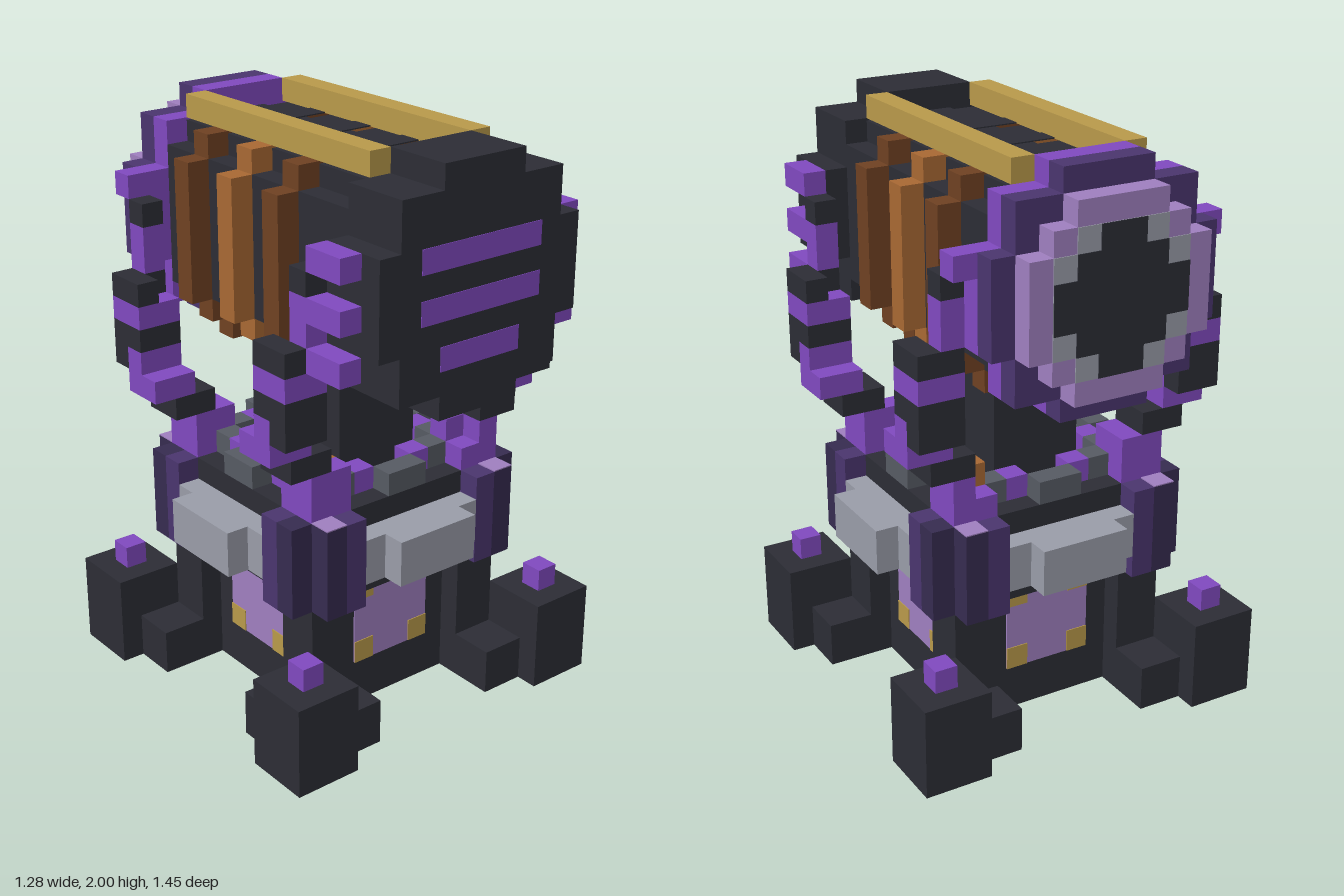
import * as THREE from 'three';

const U = 0.08; // one block

const mat = (name, color) => {
  const m = new THREE.MeshStandardMaterial({ color });
  m.name = name;
  return m;
};

export function createModel() {
  const model = new THREE.Group();
  const dark = mat('charcoal', 0x2c2d35), purple = mat('purple', 0x8049bf), lavender = mat('lavender', 0x9f7fbf),
    violet = mat('violet', 0x4a356e), indigo = mat('indigo', 0x362b50), gold = mat('gold', 0xb8994a),
    brown = mat('brown', 0x6f4122), copper = mat('copper', 0xa86833), silver = mat('silver', 0x999ca8),
    grey = mat('grey', 0x565a63);

  const part = (name, parent = model) => {
    const g = new THREE.Group();
    g.name = name;
    parent.add(g);
    return g;
  };
  // Box given by its limits in block units
  const box = (g, name, m, x0, x1, y0, y1, z0, z1) => {
    const b = new THREE.Mesh(new THREE.BoxGeometry((x1 - x0) * U, (y1 - y0) * U, (z1 - z0) * U), m);
    b.position.set((x0 + x1) / 2 * U, (y0 + y1) / 2 * U, (z0 + z1) / 2 * U);
    b.name = name;
    g.add(b);
  };
  // Box mirrored into a corner or side
  const mbox = (g, name, m, sx, sz, x0, x1, y0, y1, z0, z1) => box(g, name, m,
    Math.min(sx * x0, sx * x1), Math.max(sx * x0, sx * x1), y0, y1,
    Math.min(sz * z0, sz * z1), Math.max(sz * z0, sz * z1));
  // Stepped disc: rows of [half width, y0, y1]
  const disc = (g, name, m, rows, z0, z1) => rows.forEach(([w, a, b]) => box(g, name, m, -w, w, a, b, z0, z1));
  const corners = [[1, 1], [-1, 1], [1, -1], [-1, -1]];

  // Base with four feet and pillars
  const base = part('base');
  box(base, 'baseCore', dark, -4, 4, 0, 6, -4, 4);
  for (const [sx, sz] of corners) {
    mbox(base, 'foot', dark, sx, sz, 5, 8, 0, 4, 5, 8);
    mbox(base, 'footStep', dark, sx, sz, 3, 7, 0, 2, 3, 7);
    mbox(base, 'footStud', purple, sx, sz, 6, 7, 4, 5, 6, 7);
    mbox(base, 'pillar', dark, sx, sz, 3, 5, 0, 6, 3, 5);
  }

  // Panel, silver band and coloured rim, repeated on four sides
  box(model, 'collarCore', dark, -5, 5, 6, 10, -5, 5);
  for (let i = 0; i < 4; i++) {
    const side = part('baseSide');
    box(side, 'panel', lavender, -2, 2, 2, 6, 4, 4.06);
    for (const x of [-2, 1]) for (const y of [2, 5]) box(side, 'panelCorner', gold, x, x + 1, y, y + 1, 4.05, 4.1);
    box(side, 'band', silver, -3, 3, 7, 9, 5, 6);
    box(side, 'bandFront', silver, -2, 2, 7, 9, 6, 7);
    box(side, 'rimCentre', grey, -1, 1, 10, 11, 4, 5);
    for (const s of [1, -1]) {
      mbox(side, 'rimPurple', purple, s, 1, 1, 2, 10, 11, 3, 4);
      mbox(side, 'rimGrey', grey, s, 1, 2, 3, 10, 11, 3, 4);
    }
    side.rotation.y = i * Math.PI / 2;
  }

  // Notched collar posts
  const posts = part('collarPosts');
  for (const [sx, sz] of corners) {
    mbox(posts, 'postInner', violet, sx, sz, 3, 4, 6, 10, 5, 6);
    mbox(posts, 'postInner', violet, sx, sz, 5, 6, 6, 10, 3, 4);
    mbox(posts, 'postOuter', indigo, sx, sz, 4, 5, 6, 10, 4, 6);
    mbox(posts, 'postOuter', indigo, sx, sz, 5, 6, 6, 10, 4, 5);
    mbox(posts, 'postCap', lavender, sx, sz, 4, 5, 10, 10.05, 5, 6);
  }

  // Pedestal under the barrel
  box(model, 'pedestal', dark, -2, 2, 10, 16, -3, 3);

  // Curved arms from the collar up to the barrel
  for (const [sx, sz] of corners) {
    const arm = part('arm');
    const a = (m, ...b) => mbox(arm, 'armBlock', m, sx, sz, ...b);
    a(purple, 3, 5, 10, 11, 3, 5);
    a(purple, 4, 5, 11, 12, 3, 5);
    a(sx * sz < 0 ? copper : purple, 3, 4, 11, 12, 3, 4);
    if (sx < 0) a(purple, 3, 4, 11, 12, 4, 5);
    a(dark, 4, 6, 12, 13, 3, 5);
    a(purple, 5, 7, 13, 14, 3, 5);
    a(purple, 5, 7, 14, 15, 4, 5);
    a(dark, 5, 7, 14, 16, 5, 6);
    a(dark, 5, 7, 15, 16, 4, 5);
    a(purple, 5, 7, 16, 17, 4, 6);
    a(dark, 6, 7, 17, 18, 4, 6);
    a(dark, 5, 6, 17, 18, 5, 6);
    a(purple, 5, 6, 18, 20, 5, 6);
    a(dark, 5, 6, 20, 21, 5, 6);
    // Cheek fins
    if (sz > 0) {
      for (const y of [17, 19, 21]) a(purple, 5, 6, y, y + 1, 6, 8);
    } else a(purple, 5, 6, 21, 22, 6, 7);
  }

  // Barrel body, ribs and rails
  const barrel = part('barrel');
  const full = [[2, 15, 16], [4, 16, 18], [5, 18, 22], [4, 22, 24], [2, 24, 25]];
  disc(barrel, 'tube', dark, [[3, 16, 17], [4, 17, 23], [3, 23, 23.9], [1, 23.9, 24]], -6, 6);
  for (const [z, m] of [[2, brown], [-1, copper], [-4, brown]]) {
    disc(barrel, 'rib', m, [[3, 15, 16], [4, 16, 17], [5, 17, 23], [4, 23, 24]], z, z + 1);
    box(barrel, 'ribTop', dark, -2, 2, 24, 24.05, z, z + 1);
  }
  for (const s of [1, -1]) mbox(barrel, 'rail', gold, s, 1, 2, 3, 24, 25, -6, 6);

  // Front cap with slots
  disc(barrel, 'frontCap', dark, full, 6, 9);
  for (const [w, y] of [[3, 21], [3, 19], [2, 17]]) box(barrel, 'slot', purple, -w, w, y, y + 1, 9, 9.03);

  // Rear rings and lens
  const rear = part('rear');
  disc(rear, 'rearRing', purple, full, -7, -6);
  disc(rear, 'rearBand', violet, full, -8, -7);
  disc(rear, 'rearRim', lavender, [[2, 16, 17], [3, 17, 18], [4, 18, 22], [3, 22, 23], [2, 23, 24]], -9, -8);
  disc(rear, 'lensEdge', silver, [[2, 17, 18], [3, 18, 22], [2, 22, 23]], -9.04, -9);
  disc(rear, 'lens', dark, [[1, 17, 18], [2, 18, 19], [3, 19, 21], [2, 21, 22], [1, 22, 23]], -9.08, -9.03);

  return model;
}
